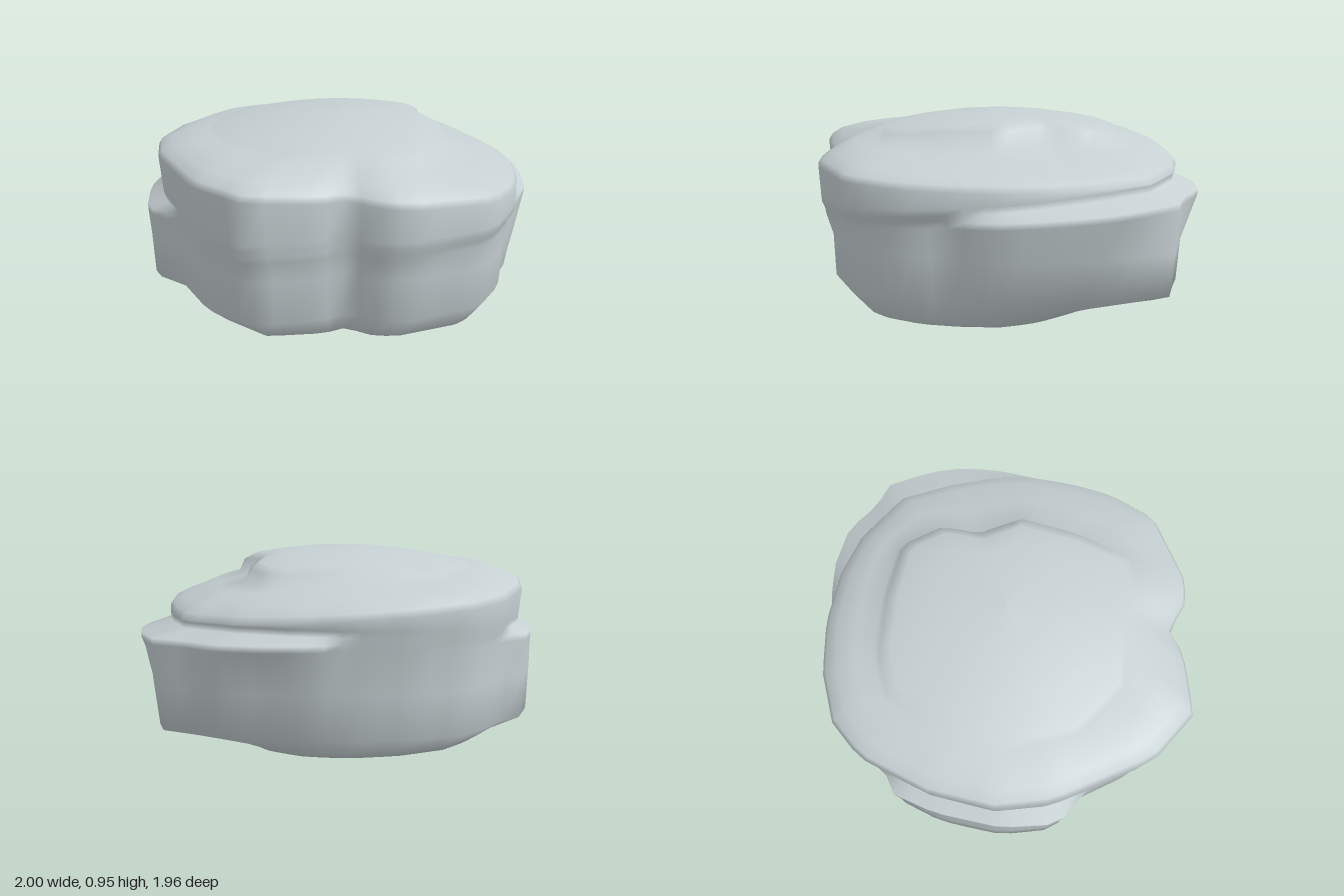
import * as THREE from 'three';

const SEGMENTS = 72;

// Plan outlines as [x, z], running anticlockwise seen from above
const bodyOutline = [
  [0.1, 0.82], [0.2, 0.9], [0.38, 0.9], [0.75, 0.7], [0.87, 0.45], [0.91, 0.22], [0.92, 0],
  [0.89, -0.2], [0.8, -0.45], [0.68, -0.69], [0.4, -0.86], [0.17, -0.92], [-0.12, -0.93],
  [-0.4, -0.88], [-0.65, -0.77], [-0.8, -0.6], [-0.92, -0.25], [-0.95, 0.08], [-0.88, 0.35],
  [-0.79, 0.5], [-0.6, 0.81], [-0.35, 0.98], [-0.03, 0.91],
];
const rightBulge = [
  [0.91, 0.22], [0.99, 0], [1, -0.2], [0.98, -0.4], [0.92, -0.58], [0.79, -0.8],
  [0.65, -0.84], [0.48, -0.96], [0.25, -0.99], [0.01, -0.96], [-0.05, -0.9],
];
const leftBulge = [[-0.81, -0.5], [-0.92, -0.44], [-0.98, -0.22], [-1, 0.12], [-0.94, 0.4], [-0.78, 0.5]];
// Edge of the raised cap as [x, z, height of the step]
const capOutline = [
  [0, 0.56, 0], [0.25, 0.58, 0], [0.4, 0.55, 0.04], [0.48, 0.3, 0.08], [0.52, 0, 0.09],
  [0.4, -0.2, 0.09], [0.42, -0.4, 0.08], [0.3, -0.58, 0.07], [0, -0.6, 0.05],
  [-0.3, -0.58, 0.03], [-0.5, -0.5, 0.01], [-0.62, -0.2, 0], [-0.64, 0.1, 0],
  [-0.52, 0.4, 0], [-0.28, 0.58, 0],
];

const TAU = Math.PI * 2;
const wrap = (a) => ((a % TAU) + TAU) % TAU;
const lerp = THREE.MathUtils.lerp;

// Radius and step height of an outline in direction a (0 = front, rising towards +x)
function sample(points, a, closed = true) {
  const count = closed ? points.length : points.length - 1;
  for (let i = 0; i < count; i++) {
    const p = points[i], q = points[(i + 1) % points.length];
    const start = Math.atan2(p[0], p[1]);
    const span = wrap(Math.atan2(q[0], q[1]) - start);
    const offset = wrap(a - start);
    if (offset > span) continue;
    // Crossing of the ray with the segment p-q
    const dx = Math.sin(a), dz = Math.cos(a), ex = q[0] - p[0], ez = q[1] - p[1];
    const r = (p[0] * ez - p[1] * ex) / (dx * ez - dz * ex);
    return { r, step: lerp(p[2] ?? 0, q[2] ?? 0, offset / span) };
  }
  return { r: 0, step: 0 };
}

// Profile from the underside to the crown in one direction, as [radius, height]
function profile(a) {
  const sx = Math.sin(a), cz = Math.cos(a);
  const left = Math.max(-sx, 0), right = Math.max(sx, 0);
  const body = sample(bodyOutline, a).r;
  const bulge = Math.max(
    body * 0.97, sample(rightBulge, a, false).r, sample(leftBulge, a, false).r);
  const cap = sample(capOutline, a);
  const floor = (r) => 0.028 - 0.028 * sx * r;
  const dome = (r) => 0.955 - 0.2 * r * r;
  const rim = 0.712 - 0.06 * sx * body + 0.02 * cz * body;
  const ledge = 0.545 - 0.055 * cz * bulge;
  const low = body * 0.92;
  // Overhang at the back, with the floor cut in below it
  const overhang = Math.exp(-(((a - 0.75 * Math.PI) / 0.5) ** 2));
  const base = body * (0.84 - 0.03 * Math.abs(cz)) - 0.1 * overhang;
  const foot = cap.r + 0.045, footY = dome(foot) - cap.step;
  const shoulder = body * 0.92, shoulderY = rim + 0.05 + 0.02 * cz * cz;
  return [
    [0, 0.025],
    [base * 0.7, floor(base * 0.7)],
    [base, floor(base)],
    [base + 0.03, floor(base) + 0.02],
    [lerp(low, bulge, Math.max(0.95 * left, 0.5 * right, 0.85 * overhang)), 0.15],
    [lerp(low, bulge, Math.max(0.3, left, 0.8 * right, 0.95 * overhang)), 0.36],
    [bulge, ledge - 0.03],
    [Math.max(bulge, body * 0.975), ledge],
    [body * (0.98 + 0.02 * right), ledge + 0.03],
    [body * (0.985 + 0.015 * right), ledge + 0.06],
    [body, rim],
    [body * 0.98, rim + 0.03],
    [shoulder, shoulderY],
    [lerp(foot, shoulder, 0.5), lerp(footY, shoulderY, 0.5) + 0.015],
    [foot, footY],
    [cap.r + 0.01, dome(cap.r) - cap.step * 0.25],
    [cap.r - 0.05, dome(cap.r - 0.05)],
    [cap.r * 0.7, dome(cap.r * 0.7)],
    [cap.r * 0.4, dome(cap.r * 0.4)],
    [0, 0.955],
  ];
}

function boulderGeometry() {
  const positions = [], index = [];
  let rings = 0;
  for (let i = 0; i < SEGMENTS; i++) {
    const a = (i / SEGMENTS) * TAU;
    const points = profile(a);
    rings = points.length;
    for (const [r, y] of points) positions.push(r * Math.sin(a), y, r * Math.cos(a));
  }
  for (let i = 0; i < SEGMENTS; i++) {
    const here = i * rings, next = ((i + 1) % SEGMENTS) * rings;
    for (let j = 0; j < rings - 1; j++) {
      index.push(here + j, next + j + 1, here + j + 1);
      if (j > 0) index.push(here + j, next + j, next + j + 1);
    }
  }
  const geometry = new THREE.BufferGeometry();
  geometry.setAttribute('position', new THREE.Float32BufferAttribute(positions, 3));
  geometry.setIndex(index);
  geometry.computeVertexNormals();
  return geometry;
}

export function createModel() {
  const group = new THREE.Group();
  group.name = 'rock';
  const stone = new THREE.MeshStandardMaterial({ color: 0xc6d0d3 });
  stone.name = 'pale grey stone';
  const boulder = new THREE.Mesh(boulderGeometry(), stone);
  boulder.name = 'boulder';
  group.add(boulder);
  return group;
}
